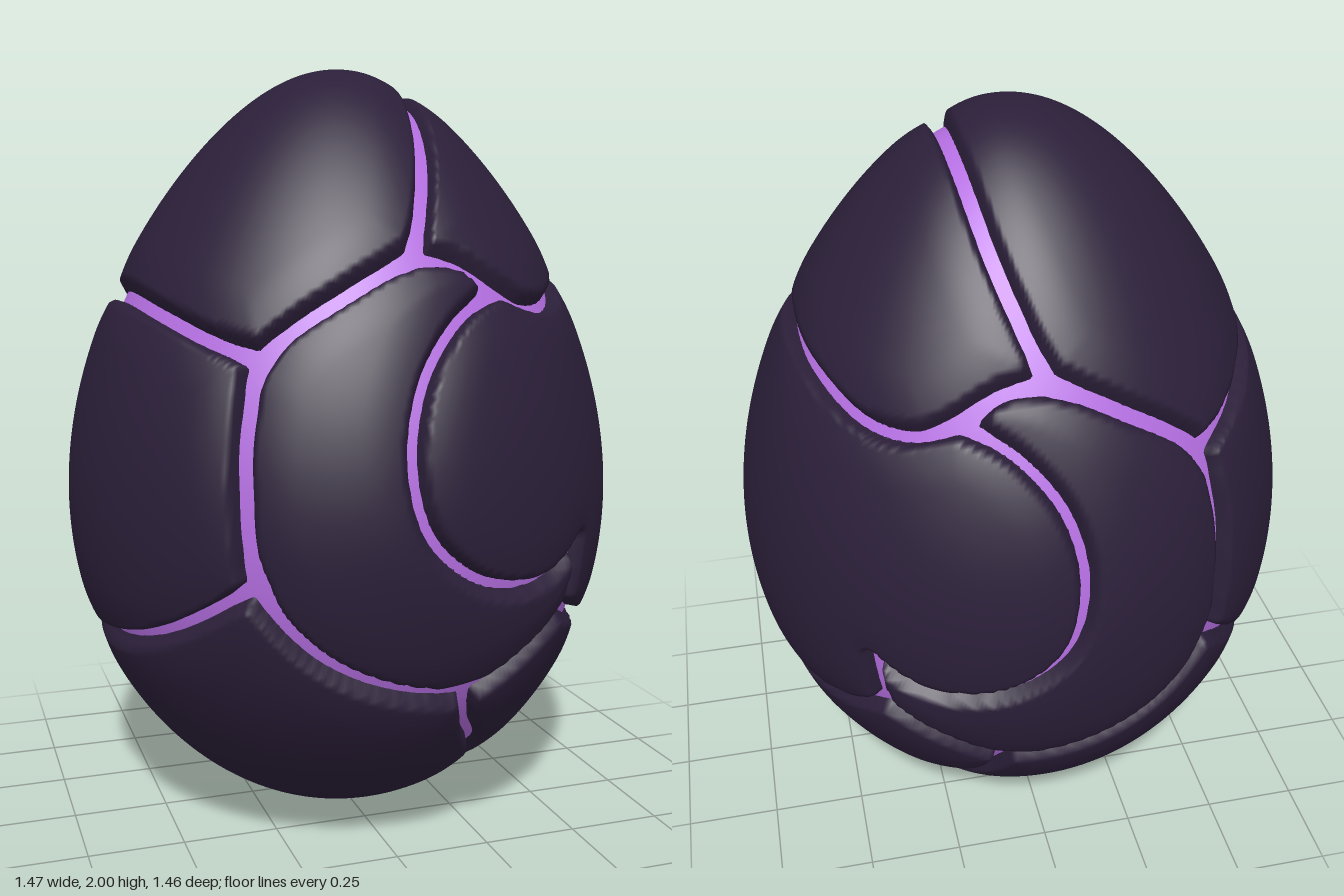
import * as THREE from 'three';
import { mergeVertices } from 'three/addons/utils/BufferGeometryUtils.js';

const MID = new THREE.Vector3(0, 0.95, 0);
const CORE_DEPTH = 0.042;

// Egg width factor for a height s from -1 (bottom) to 1 (top)
const girth = (s) => 0.727 - 0.11 * s - 0.078 * s * s;

// Point on the egg for a unit direction
function egg(u) {
  const a = girth(u.y);
  return new THREE.Vector3(u.x * a, 1 + u.y, u.z * a);
}

// Pull any nearby point onto the egg
function ontoEgg(p) {
  const a = girth(p.y - 1);
  return egg(new THREE.Vector3(p.x / a, p.y - 1, p.z / a).normalize());
}

// Point on the front of the egg, outside the core's visible point at x and y
function frontPoint([x, y]) {
  const k = 1 + CORE_DEPTH * 1.2;
  const py = Math.min(1.955, Math.max(0.05, MID.y + (y - MID.y) * k));
  const s = py - 1;
  const r = girth(s) * Math.sqrt(1 - s * s);
  const px = Math.max(-r, Math.min(r, x * k));
  return new THREE.Vector3(px, py, Math.sqrt(r * r - px * px));
}

// Seams on the front half: half width, [x, y] points, and whether they wrap round to the back
// (a wrapped seam ends at the side of the egg, where x is cut off at the outline)
const SEAMS = [
  // outer edge of the crescent
  { w: 0.019, pts: [[0.02, 1.51], [-0.15, 1.43], [-0.35, 1.28], [-0.39, 1.15], [-0.405, 1.0], [-0.38, 0.77],
    [-0.27, 0.62], [-0.1, 0.52], [0.13, 0.48], [0.29, 0.55], [0.42, 0.64]] },
  // inner edge of the crescent
  { w: 0.013, pts: [[0.22, 1.43], [0.1, 1.36], [0.0, 1.23], [-0.04, 1.05], [0.0, 0.88], [0.12, 0.77],
    [0.25, 0.735], [0.36, 0.75], [0.45, 0.81]] },
  { w: 0.015, pts: [[0.45, 0.81], [0.44, 0.72], [0.42, 0.64]] },
  { w: 0.016, pts: [[0.02, 1.51], [0.13, 1.49], [0.22, 1.43]] },
  // branches that run round the sides, top and bottom
  { w: 0.014, wrap: true, pts: [[0.22, 1.43], [0.32, 1.39], [0.42, 1.39], [0.52, 1.44], [0.9, 1.465]] },
  { w: 0.013, wrap: true, pts: [[0.42, 0.64], [0.53, 0.57], [0.6, 0.55], [0.9, 0.55]] },
  { w: 0.017, wrap: true, pts: [[-0.35, 1.28], [-0.45, 1.325], [-0.53, 1.375], [-0.9, 1.41]] },
  { w: 0.014, wrap: true, pts: [[-0.38, 0.77], [-0.46, 0.7], [-0.55, 0.62], [-0.9, 0.55]] },
  { w: 0.018, wrap: true, pts: [[0.02, 1.51], [0.07, 1.63], [0.12, 1.77], [0.5, 1.91]] },
  { w: 0.013, wrap: true, pts: [[0.13, 0.48], [0.17, 0.36], [0.25, 0.24], [0.6, 0.085]] },
];

// Places where three seams meet and open wider
const JUNCTIONS = [[0.02, 1.51], [-0.35, 1.28], [-0.38, 0.77], [0.13, 0.48], [0.42, 0.64], [0.22, 1.43]]
  .map(frontPoint);

// Sample every seam finely as points lying on the egg
function seamSamples() {
  const out = [];
  for (const { w, pts, wrap } of SEAMS) {
    const ctrl = pts.map(frontPoint);
    if (wrap) {
      const back = ctrl.slice(0, -1).map((p) => new THREE.Vector3(p.x, p.y, -p.z));
      ctrl.push(...back.reverse());
    }
    const curve = new THREE.CatmullRomCurve3(ctrl, false, 'centripetal');
    for (const c of curve.getSpacedPoints(Math.ceil(curve.getLength() / 0.012))) {
      if (c.z < -0.03) continue;
      const p = ontoEgg(c);
      const near = Math.min(...JUNCTIONS.map((j) => j.distanceTo(p)));
      out.push({ p, w: w + 0.009 * Math.max(0, 1 - near / 0.09) });
    }
  }
  return out;
}

// Depth of the shell below the egg at distance d from a seam's edge
function groove(d) {
  const rim = 0.065 * (1 - THREE.MathUtils.smoothstep(d, -0.015, 0.016));
  const pillow = 0.009 * Math.pow(1 - Math.min(1, Math.max(0, d) / 0.12), 2);
  return rim + pillow;
}

// Evenly divided sphere from an inflated box, reshaped by a rule
function eggGeometry(n, place) {
  const box = new THREE.BoxGeometry(2, 2, 2, n, n, n);
  box.deleteAttribute('uv');
  box.deleteAttribute('normal');
  box.clearGroups();
  const geo = mergeVertices(box, 1e-4);
  const pos = geo.attributes.position;
  const u = new THREE.Vector3();
  for (let i = 0; i < pos.count; i++) {
    u.fromBufferAttribute(pos, i);
    // even out the spacing of the grid
    u.set(...u.toArray().map((c) => Math.tan(c * Math.PI / 4))).normalize();
    const p = place(egg(u));
    pos.setXYZ(i, p.x, p.y, p.z);
  }
  geo.computeVertexNormals();
  return geo;
}

const sink = (p, depth) => p.addScaledVector(p.clone().sub(MID).normalize(), -depth);

export function createModel() {
  const shellMaterial = new THREE.MeshStandardMaterial({ color: 0x2b1f39 });
  shellMaterial.name = 'dark shell';
  const glowMaterial = new THREE.MeshStandardMaterial({ color: 0xb56fe2 });
  glowMaterial.name = 'purple seam';

  const group = new THREE.Group();
  group.name = 'crackedEgg';

  // Dark plates, sunk along the seams so that the core shows between them
  const samples = seamSamples();
  const shell = new THREE.Mesh(eggGeometry(108, (p) => {
    let best = 1;
    const z = Math.abs(p.z);
    for (const { p: q, w } of samples) {
      const d = Math.hypot(p.x - q.x, p.y - q.y, z - q.z) - w;
      if (d < best) best = d;
    }
    return sink(p, groove(best));
  }), shellMaterial);
  shell.name = 'shellPlates';
  group.add(shell);

  // Smooth purple core
  const core = new THREE.Mesh(eggGeometry(26, (p) => sink(p, CORE_DEPTH)), glowMaterial);
  core.name = 'core';
  group.add(core);

  return group;
}
